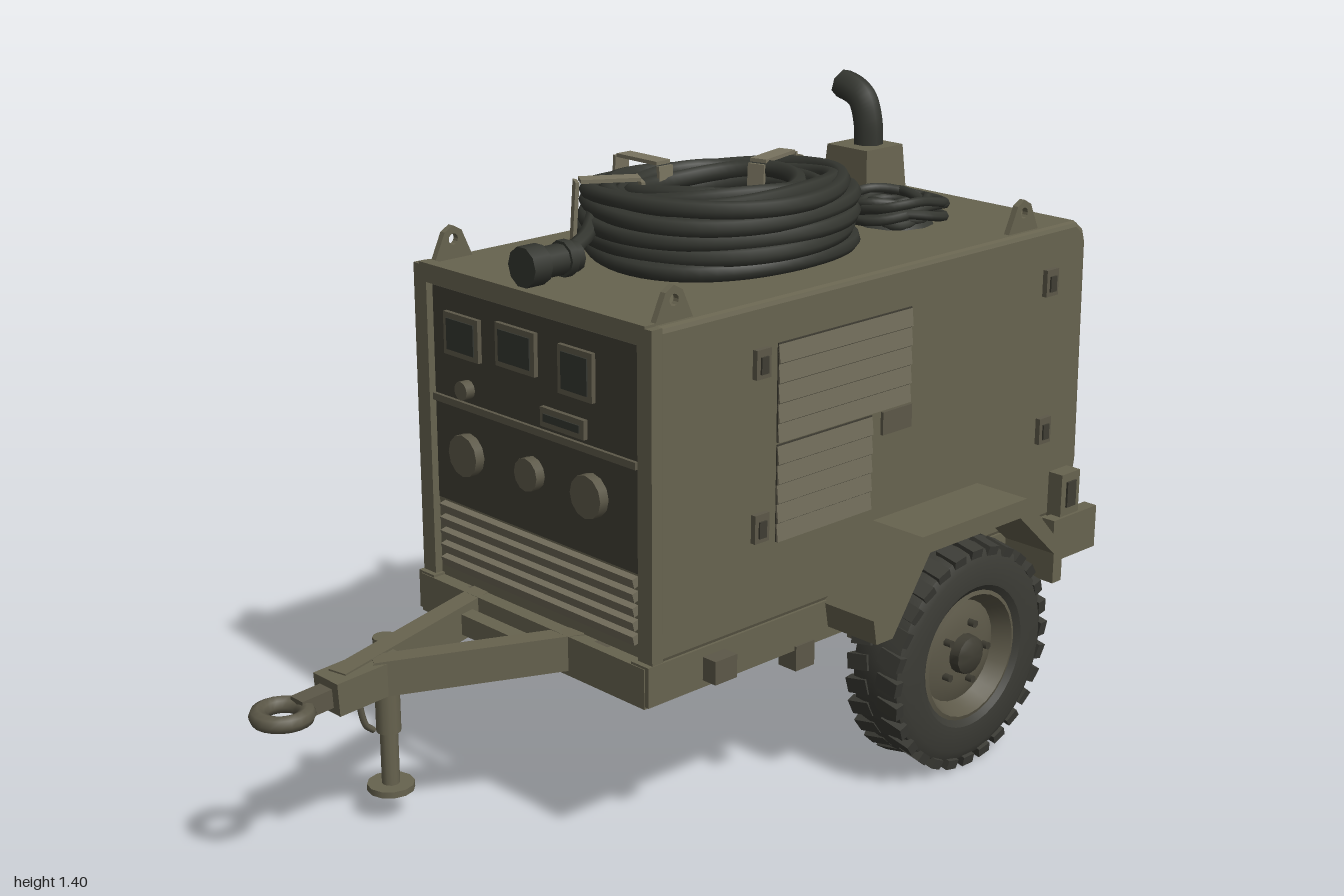
import * as THREE from 'three';
import { toCreasedNormals } from 'three/addons/utils/BufferGeometryUtils.js';

const paint = (name, color) => Object.assign(new THREE.MeshStandardMaterial({ color }), { name });
const M = {
  olive: paint('olive body', 0x67634f),
  louver: paint('light olive louver', 0x716c5a),
  rim: paint('dull olive rim', 0x5c5848),
  rubber: paint('tyre rubber', 0x3b3b35),
  cable: paint('black cable', 0x343630),
  panel: paint('dark panel', 0x3f3d33),
  under: paint('underside', 0x46433a),
  strap: paint('tan strap', 0x78735f),
};

export function createModel() {
  const root = new THREE.Group();
  root.name = 'trailerGenerator';
  const add = (name, geo, mat, parent = root) => {
    const m = new THREE.Mesh(geo, mat);
    m.name = name;
    parent.add(m);
    return m;
  };
  const at = (m, x, y, z) => (m.position.set(x, y, z), m);
  // box given by its extents
  const box = (name, mat, x0, x1, y0, y1, z0, z1, parent) =>
    at(add(name, new THREE.BoxGeometry(x1 - x0, y1 - y0, z1 - z0), mat, parent),
      (x0 + x1) / 2, (y0 + y1) / 2, (z0 + z1) / 2);
  // bar of width w and height h between two points
  const beam = (name, mat, a, b, w, h) => {
    const p = new THREE.Vector3(...a), q = new THREE.Vector3(...b);
    const m = add(name, new THREE.BoxGeometry(w, h, p.distanceTo(q)), mat);
    m.position.copy(p).add(q).multiplyScalar(0.5);
    m.lookAt(q);
    return m;
  };
  const shapeOf = pts => new THREE.Shape(pts.map(p => new THREE.Vector2(...p)));
  const extrude = (pts, depth, bevel = 0) => new THREE.ExtrudeGeometry(shapeOf(pts),
    { depth, bevelEnabled: bevel > 0, bevelSize: bevel, bevelThickness: bevel, bevelOffset: -bevel, bevelSegments: 2 });
  const lathe = (pts, n) => toCreasedNormals(
    new THREE.LatheGeometry(pts.map(p => new THREE.Vector2(...p)), n).rotateX(Math.PI / 2), 0.6);
  const tube = (pts, r, closed = false, n = 24) => new THREE.TubeGeometry(
    new THREE.CatmullRomCurve3(pts.map(p => new THREE.Vector3(...p)), closed), n, r, 7, closed);

  // housing with a softened rear top edge
  at(add('housing', extrude([[-0.37, 0.44], [0.92, 0.44], [0.94, 0.56], [0.93, 1.07], [0.92, 1.1],
    [0.895, 1.12], [-0.37, 1.12]], 0.69, 0.012), M.olive), 0, 0, -0.345);

  // louvered side openings, latches, lugs, lamps
  const slats = (s, x0, x1, y0, y1, n) => {
    box('louverRecess', M.panel, x0, x1, y0, y1, s * 0.3585 - 0.002, s * 0.3585 + 0.002);
    const h = (y1 - y0) / n;
    for (let i = 0; i < n; i++) {
      const m = box('louverSlat', M.louver, x0, x1, y0 + i * h, y0 + (i + 0.93) * h, s * 0.361 - 0.002, s * 0.361 + 0.002);
      m.rotation.x = s * -0.12;
    }
  };
  for (const s of [1, -1]) {
    slats(s, -0.05, 0.345, 0.825, 1.03, 5);
    slats(s, -0.05, 0.23, 0.615, 0.82, 5);
    box('louverHandle', M.rim, 0.26, 0.35, 0.77, 0.82, s * 0.36 - 0.004, s * 0.36 + 0.004);
    for (const [x, y] of [[-0.1, 1], [-0.1, 0.66], [0.8, 1], [0.8, 0.66]]) {
      box('latch', M.rim, x - 0.02, x + 0.02, y - 0.03, y + 0.03, s * 0.364 - 0.006, s * 0.364 + 0.006);
      box('latchGrip', M.panel, x - 0.01, x + 0.01, y - 0.02, y + 0.015, s * 0.371 - 0.003, s * 0.371 + 0.003);
    }
    for (const x of [-0.31, 0.73]) {
      const lug = new THREE.Shape([[-0.05, 0], [0.05, 0], [0.022, 0.06], [0, 0.072], [-0.022, 0.06]].map(p => new THREE.Vector2(...p)));
      lug.holes.push(new THREE.Path().absarc(0, 0.043, 0.012, 0, Math.PI * 2, true));
      at(add('liftingLug', new THREE.ExtrudeGeometry(lug, { depth: 0.014, bevelEnabled: false, curveSegments: 6 }), M.olive), x, 1.118, s * 0.33 - 0.007);
    }
    box('tailLampBox', M.olive, 0.84, 0.905, 0.44, 0.55, s * 0.375 - 0.02, s * 0.375 + 0.02);
    box('tailLamp', M.panel, 0.857, 0.888, 0.47, 0.53, s * 0.397 - 0.003, s * 0.397 + 0.003);
    box('sideMarker', M.rim, -0.26, -0.2, 0.38, 0.43, s * 0.385 - 0.018, s * 0.385 + 0.018);
    box('stepBracket', M.rim, 0.01, 0.065, 0.315, 0.37, s * 0.34 - 0.025, s * 0.34 + 0.025);
  }

  // control end
  box('controlPanel', M.panel, -0.378, -0.369, 0.62, 1.08, -0.31, 0.31);
  for (const s of [1, -1]) box('panelPost', M.olive, -0.388, -0.36, 0.44, 1.12, s * 0.338 - 0.02, s * 0.338 + 0.02);
  box('panelHeader', M.olive, -0.388, -0.36, 1.085, 1.125, -0.34, 0.34);
  box('panelDivider', M.rim, -0.386, -0.37, 0.835, 0.85, -0.31, 0.31);
  for (const [z, y, w, h] of [[-0.21, 0.99, 0.11, 0.09], [-0.04, 1, 0.12, 0.09], [0.14, 0.99, 0.1, 0.1], [0.1, 0.88, 0.13, 0.04]]) {
    box('meterFrame', M.rim, -0.388, -0.376, y - h / 2, y + h / 2, z - w / 2, z + w / 2);
    box('meterFace', M.cable, -0.391, -0.387, y - h / 2 + 0.012, y + h / 2 - 0.012, z - w / 2 + 0.012, z + w / 2 - 0.012);
  }
  for (const [z, y, r] of [[-0.2, 0.74, 0.045], [0, 0.75, 0.035], [0.18, 0.75, 0.045], [-0.2, 0.88, 0.02]])
    at(add('outletCap', new THREE.CylinderGeometry(r, r, 0.03, 12).rotateZ(Math.PI / 2), M.rim), -0.385, y, z);
  for (let i = 0; i < 5; i++)
    box('endLouver', M.louver, -0.384, -0.368, 0.47 + i * 0.03, 0.49 + i * 0.03, -0.3, 0.3).rotation.z = 0.25;

  // chassis frame
  for (const s of [1, -1]) {
    box('sideRail', M.olive, -0.4, 0.9, 0.36, 0.445, s * 0.335 - 0.025, s * 0.335 + 0.025);
    box('innerRail', M.rim, -0.38, 0.9, 0.36, 0.44, s * 0.2 - 0.02, s * 0.2 + 0.02);
    beam('fenderStay', M.olive, [0.68, 0.3, s * 0.37], [0.8, 0.37, s * 0.37], 0.03, 0.04);
  }
  for (const x of [-0.38, 0.05, 0.32, 0.6, 0.86]) box('crossMember', M.olive, x - 0.022, x + 0.022, 0.355, 0.44, -0.35, 0.35);
  box('floorPan', M.under, -0.37, 0.92, 0.425, 0.442, -0.34, 0.34);
  box('rearCrossBar', M.rim, 0.7, 0.74, 0.32, 0.36, -0.35, 0.35);
  // rear bumper, bowed outwards
  at(add('rearBumper', extrude([[0.82, -0.4], [0.955, -0.4], [0.985, -0.2], [0.99, 0], [0.985, 0.2], [0.955, 0.4], [0.82, 0.4]],
    0.06, 0.008).rotateX(Math.PI / 2), M.olive), 0, 0.43, 0);
  for (const s of [1, -1]) {
    box('bumperEnd', M.olive, 0.81, 0.965, 0.35, 0.45, s * 0.385 - 0.017, s * 0.385 + 0.017);
    at(add('tieRing', new THREE.TorusGeometry(0.022, 0.007, 6, 12), M.rim), 0.975, 0.39, s * 0.36);
  }

  // axle and leaf springs
  const axle = at(add('axle', new THREE.CylinderGeometry(0.027, 0.027, 0.76, 10).rotateX(Math.PI / 2), M.rim), 0.43, 0.265, 0);
  axle.castShadow = false;
  for (const s of [1, -1]) {
    for (let i = 0; i < 3; i++) {
      const w = 0.32 - i * 0.08, y = 0.3 - i * 0.012;
      for (const d of [1, -1])
        beam('leafSpring', M.under, [0.43, y, s * 0.2], [0.43 + d * w, y + 0.055 * (w / 0.32), s * 0.2], 0.045, 0.011);
    }
    box('springClamp', M.rim, 0.385, 0.475, 0.22, 0.315, s * 0.2 - 0.033, s * 0.2 + 0.033);
    for (const x of [0.12, 0.74]) box('springHanger', M.rim, x - 0.025, x + 0.025, 0.325, 0.4, s * 0.2 - 0.03, s * 0.2 + 0.03);
  }

  // angular fenders
  const fender = [[0.11, 0.385], [0.1, 0.44], [0.245, 0.585], [0.585, 0.585], [0.72, 0.44], [0.72, 0.36],
    [0.69, 0.36], [0.69, 0.43], [0.565, 0.545], [0.27, 0.545], [0.16, 0.385]];
  for (const s of [1, -1]) at(add('fender', extrude(fender, 0.145), M.olive), 0, 0, s > 0 ? 0.35 : -0.495);

  // wheels with chunky tread
  for (const s of [1, -1]) {
    const wheel = new THREE.Group();
    wheel.name = 'wheel';
    wheel.position.set(0.43, 0.262, s * 0.422);
    if (s < 0) wheel.rotation.y = Math.PI;
    root.add(wheel);
    add('tyre', lathe([[0.14, -0.06], [0.16, -0.07], [0.215, -0.072], [0.238, -0.06], [0.246, -0.03], [0.247, 0],
      [0.246, 0.03], [0.238, 0.06], [0.215, 0.072], [0.16, 0.07], [0.14, 0.055]], 40), M.rubber, wheel);
    for (let i = 0; i < 28; i++) for (const d of [1, -1]) {
      const a = (i + (d > 0 ? 0 : 0.5)) / 28 * Math.PI * 2;
      const lugBlock = add('treadBlock', new THREE.BoxGeometry(0.022, 0.034, 0.056), M.rubber, wheel);
      lugBlock.position.set(Math.cos(a) * 0.24, Math.sin(a) * 0.24, d * 0.041);
      lugBlock.rotation.set(d * 0.2, 0, a);
    }
    add('rim', lathe([[0, -0.05], [0.13, -0.05], [0.145, -0.062], [0.147, 0], [0.147, 0.06], [0.138, 0.063],
      [0.128, 0.045], [0.115, 0.025], [0.09, 0.035], [0.06, 0.04], [0, 0.04]], 28), M.rim, wheel);
    add('hub', lathe([[0.045, 0.035], [0.042, 0.062], [0.028, 0.07], [0, 0.072]], 14), M.panel, wheel);
    for (let i = 0; i < 5; i++) {
      const a = i / 5 * Math.PI * 2;
      at(add('wheelNut', new THREE.CylinderGeometry(0.009, 0.009, 0.02, 6).rotateX(Math.PI / 2), M.panel, wheel),
        Math.cos(a) * 0.068, Math.sin(a) * 0.068, 0.045);
    }
  }

  // drawbar, tow eye and jack stand
  beam('drawbarArm', M.olive, [-0.8, 0.375, -0.105], [-0.36, 0.405, -0.19], 0.045, 0.075);
  beam('drawbarArm', M.olive, [-0.72, 0.38, -0.095], [-0.36, 0.405, 0.125], 0.045, 0.075);
  box('drawbarBrace', M.olive, -0.455, -0.42, 0.375, 0.42, -0.17, 0.08);
  beam('drawbarHead', M.olive, [-0.83, 0.372, -0.103], [-0.66, 0.382, -0.103], 0.08, 0.07);
  beam('towShank', M.rim, [-0.9, 0.365, -0.103], [-0.8, 0.372, -0.103], 0.04, 0.04);
  at(add('towEye', new THREE.TorusGeometry(0.048, 0.018, 8, 20).rotateX(Math.PI / 2), M.rim), -0.935, 0.363, -0.103);
  for (const [n, r, y0, y1] of [['jackSleeve', 0.026, 0.2, 0.41], ['jackLeg', 0.019, 0.07, 0.25], ['jackFoot', 0.05, 0.068, 0.082]])
    at(add(n, new THREE.CylinderGeometry(r, r, y1 - y0, 12), M.olive), -0.625, (y0 + y1) / 2, -0.185);
  box('jackMount', M.rim, -0.66, -0.59, 0.33, 0.385, -0.2, -0.12);
  add('jackHandle', tube([[-0.66, 0.34, -0.19], [-0.69, 0.32, -0.19], [-0.68, 0.23, -0.19], [-0.66, 0.21, -0.19]], 0.007), M.rim);

  // cable coils of slightly wandering loops
  const loop = (cx, cy, cz, r, t, k, wob, tilt) => {
    const pts = [];
    for (let i = 0; i < 20; i++) {
      const a = i / 20 * Math.PI * 2, q = r + wob * Math.sin(a * 3 + k * 2.1);
      pts.push([cx + q * Math.cos(a), cy + wob * Math.sin(a * 2 + k * 1.7) + tilt * Math.sin(a), cz + q * Math.sin(a)]);
    }
    add('cableLoop', tube(pts, t, true, 56), M.cable);
  };
  for (let j = 0; j < 5; j++) for (let i = 0; i < 4; i++)
    loop(0.135, 1.146 + j * 0.028, 0, 0.185 + i * 0.03 - (j === 4 ? 0.012 : 0), 0.019, j * 4 + i, 0.007, j * 0.004);
  for (let i = 0; i < 7; i++)
    loop(0.6 + 0.015 * Math.sin(i * 2), 1.135 + i * 0.006, 0.08 + 0.015 * Math.cos(i * 3), 0.06 + (i % 4) * 0.019, 0.011, i, 0.01, 0.004);
  at(add('smallCoilCore', new THREE.CylinderGeometry(0.06, 0.09, 0.03, 12), M.cable), 0.6, 1.133, 0.08);
  // coil straps
  for (const a of [Math.PI / 2, Math.PI * 0.82, 0.25]) {
    const strap = new THREE.Group();
    strap.name = 'coilStrap';
    strap.position.set(0.135, 0, 0);
    strap.rotation.y = a;
    root.add(strap);
    box('strapTop', M.strap, 0.165, 0.29, 1.277, 1.285, -0.02, 0.02, strap);
    box('strapInner', M.strap, 0.152, 0.16, 1.12, 1.275, -0.02, 0.02, strap).rotation.z = -0.06;
    box('strapOuter', M.strap, 0.298, 0.306, 1.12, 1.28, -0.02, 0.02, strap).rotation.z = 0.06;
  }
  // cable tail and plug
  add('cableTail', tube([[0.0, 1.24, -0.2], [-0.1, 1.22, -0.12], [-0.18, 1.19, -0.06], [-0.26, 1.17, -0.035]], 0.017), M.cable);
  for (const [n, r, x0, x1] of [['plugBody', 0.032, -0.34, -0.23], ['plugCollar', 0.042, -0.37, -0.325], ['plugCollar', 0.038, -0.27, -0.25]])
    at(add(n, new THREE.CylinderGeometry(r, r, x1 - x0, 10).rotateZ(Math.PI / 2), M.cable), (x0 + x1) / 2, 1.165, -0.033);

  // exhaust box and bent stack
  const stackBox = at(add('exhaustBox', new THREE.CylinderGeometry(0.085, 0.098, 0.13, 4).rotateY(Math.PI / 4), M.olive), 0.72, 1.182, -0.118);
  stackBox.geometry = toCreasedNormals(stackBox.geometry, 0.3);
  box('exhaustFlange', M.rim, 0.645, 0.805, 1.115, 1.127, -0.2, -0.04);
  M.cable.side = THREE.DoubleSide;
  add('exhaustStack', tube([[0.728, 1.23, -0.115], [0.728, 1.3, -0.12], [0.728, 1.345, -0.137], [0.728, 1.365, -0.165], [0.728, 1.375, -0.2]], 0.034), M.cable);
  return root;
}
